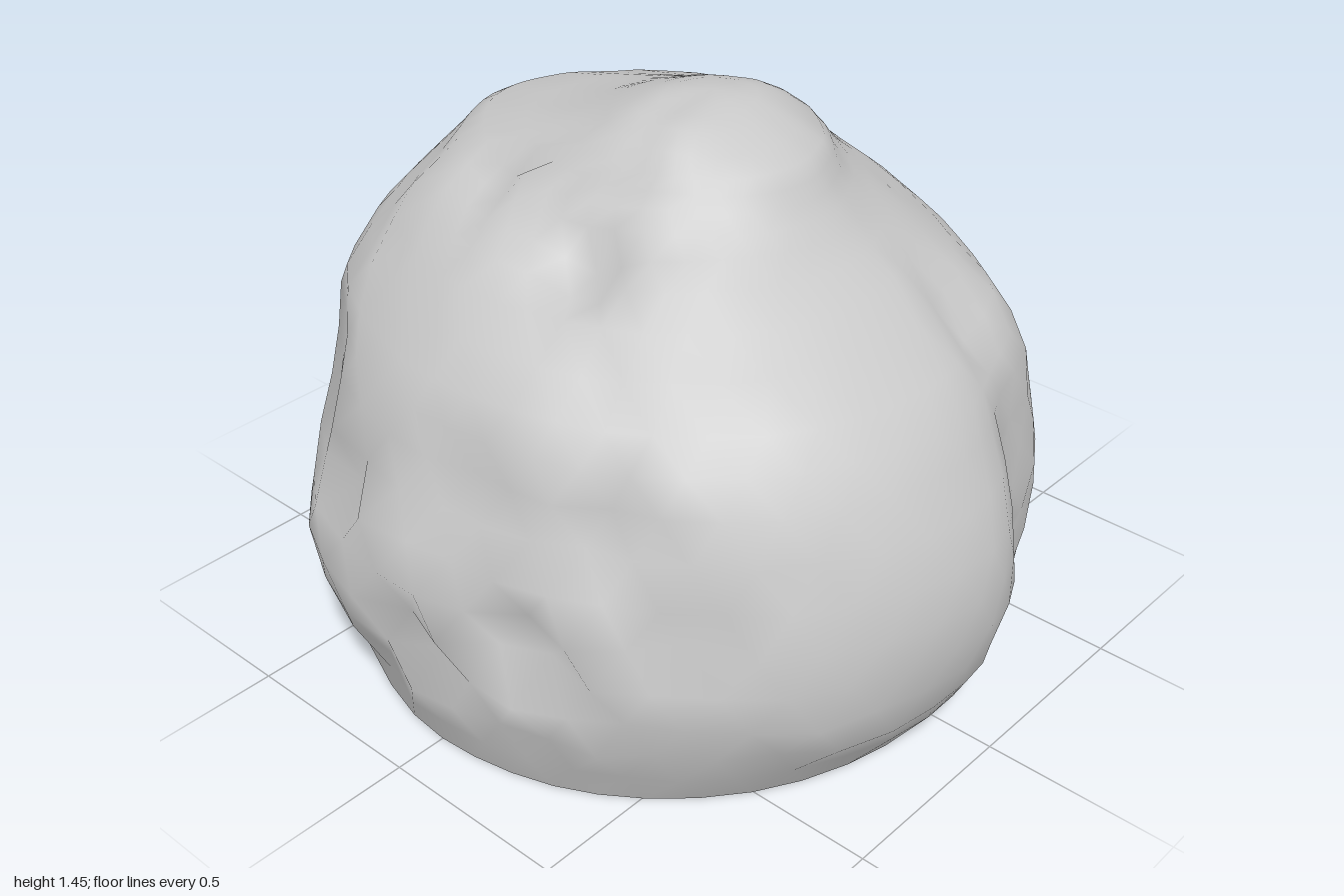
import * as THREE from 'three';

const SEGMENTS = 52, RINGS = 22;

// Plan outline of the boulder, (x, z) at its widest
const PLAN = [
  [1, 0.05], [0.97, 0.3], [0.84, 0.55], [0.62, 0.74], [0.4, 0.87], [0.15, 0.93], [-0.1, 0.97],
  [-0.4, 0.88], [-0.62, 0.71], [-0.77, 0.51], [-0.92, 0.3], [-1, 0.1], [-0.96, -0.05], [-0.89, -0.2],
  [-0.92, -0.38], [-0.87, -0.56], [-0.74, -0.75], [-0.46, -0.86], [-0.32, -0.87], [-0.1, -0.96],
  [0.05, -0.97], [0.25, -0.9], [0.43, -0.8], [0.62, -0.66], [0.77, -0.48], [0.82, -0.25], [0.94, -0.12],
];

// Extents by height: y, min x, max x, min z, max z
const LEVELS = [
  [0, -0.79, 0.83, -0.85, 0.87], [0.2, -0.92, 0.96, -0.93, 0.94], [0.4, -1, 1, -0.97, 0.97],
  [0.6, -0.97, 0.98, -0.92, 0.92], [0.8, -0.88, 0.9, -0.84, 0.85], [0.95, -0.86, 0.8, -0.74, 0.77],
  [1.1, -0.76, 0.6, -0.6, 0.62], [1.2, -0.66, 0.48, -0.48, 0.48], [1.28, -0.56, 0.42, -0.37, 0.37],
  [1.35, -0.26, 0.37, -0.28, 0.29], [1.42, -0.06, 0.25, -0.16, 0.19], [1.44, 0.03, 0.16, -0.07, 0.07],
];

// Pits in the surface: x, y, z, depth
const PITS = [
  [0.29, 0.42, 0.9, 0.12], [-0.27, 0.62, 0.84, 0.09], [-0.7, 0.5, 0.6, 0.09], [0.42, 0.72, 0.74, 0.09],
  [0.12, 1.18, 0.48, 0.09], [0, 0.32, 0.95, 0.08], [-0.27, 1.24, 0.36, 0.05], [0.08, 0.75, 0.84, 0.05],
  [0.64, 0.52, 0.7, 0.07], [-0.15, 0.12, 0.92, 0.05], [-0.1, 0.9, -0.75, 0.08], [0.55, 0.8, -0.6, 0.05],
  [0.68, 0.97, -0.22, 0.05], [0.9, 0.28, -0.18, 0.05],
];

const CENTRE = new THREE.Vector3(0, 0.4, 0);
const pits = PITS.map(([x, y, z, depth]) => ({
  dir: new THREE.Vector3(x, y, z).sub(CENTRE).normalize(), depth,
}));

// Gentle lumps, craggy on the front, with pits pressed inwards
function weather(p) {
  const dir = p.clone().sub(CENTRE).normalize();
  const { x, y, z } = p;
  const lumps = Math.sin(9 * x + 3 * y + 1.3) * Math.sin(8 * y - 6 * z + 0.4);
  const crags = Math.sin(25 * x - 13 * y + 0.7) * Math.sin(23 * y + 9 * x + 1.9) + 0.4 * Math.sin(31 * x + 27 * y + 9 * z);
  const front = THREE.MathUtils.smoothstep(z, 0.1, 0.7);
  let d = 0.009 * lumps + (0.005 + 0.012 * front) * crags;
  for (const pit of pits) {
    const a = dir.angleTo(pit.dir) / 0.13;
    if (a < 1) d -= pit.depth * (1 - a * a);
  }
  return p.addScaledVector(dir, d * Math.min(1, y / 0.15));
}

function surface(positions, indices) {
  const g = new THREE.BufferGeometry();
  g.setAttribute('position', new THREE.Float32BufferAttribute(positions, 3));
  g.setIndex(indices);
  g.computeVertexNormals();
  return g;
}

export function createModel() {
  const stone = new THREE.MeshStandardMaterial({ color: 0xc8c8c8 });
  stone.name = 'grey stone';
  const rock = new THREE.Group();
  rock.name = 'boulder';

  const plan = new THREE.CatmullRomCurve3(PLAN.map(([x, z]) => new THREE.Vector3(x, 0, z / 0.97)), true);
  const uniform = (pts) => new THREE.CatmullRomCurve3(pts, false, 'catmullrom', 0.5);
  const low = uniform(LEVELS.map(([y, x0, , z0]) => new THREE.Vector3(x0, y, z0)));
  const high = uniform(LEVELS.map(([y, , x1, , z1]) => new THREE.Vector3(x1, y, z1)));

  // Weathered body, ring by ring with staggered vertices
  const body = [], faces = [];
  for (let j = 0; j <= RINGS; j++) {
    const a = low.getPoint(j / RINGS), b = high.getPoint(j / RINGS);
    // The notched outline belongs to the waist; foot and crown are rounder
    const round = 0.85 * Math.max(
      THREE.MathUtils.smoothstep(a.y, 0.5, 1), 1 - THREE.MathUtils.smoothstep(a.y, 0, 0.3));
    for (let i = 0; i < SEGMENTS; i++) {
      const o = plan.getPoint(((i + (j % 2) * 0.5) / SEGMENTS) % 1);
      o.setLength(THREE.MathUtils.lerp(o.length(), 0.99, round));
      const p = new THREE.Vector3(
        (a.x + b.x + (b.x - a.x) * o.x) / 2, a.y, (a.z + b.z + (b.z - a.z) * o.z) / 2);
      body.push(...weather(p).toArray());
      const n = j * SEGMENTS + i, m = j * SEGMENTS + (i + 1) % SEGMENTS;
      if (j === RINGS) faces.push(n, (RINGS + 1) * SEGMENTS, m);
      else if (j % 2) faces.push(n, m + SEGMENTS, m, n, n + SEGMENTS, m + SEGMENTS);
      else faces.push(n, n + SEGMENTS, m, m, n + SEGMENTS, m + SEGMENTS);
    }
  }
  body.push(0.1, 1.45, 0);
  const bodyMesh = new THREE.Mesh(surface(body, faces), stone);
  bodyMesh.name = 'weatheredBody';

  // Flat underside closing the lowest ring
  const base = body.slice(0, SEGMENTS * 3).concat(0, 0, 0), fan = [];
  for (let i = 0; i < SEGMENTS; i++) fan.push(SEGMENTS, i, (i + 1) % SEGMENTS);
  const baseMesh = new THREE.Mesh(surface(base, fan), stone);
  baseMesh.name = 'flatBase';

  rock.add(bodyMesh, baseMesh);
  return rock;
}
